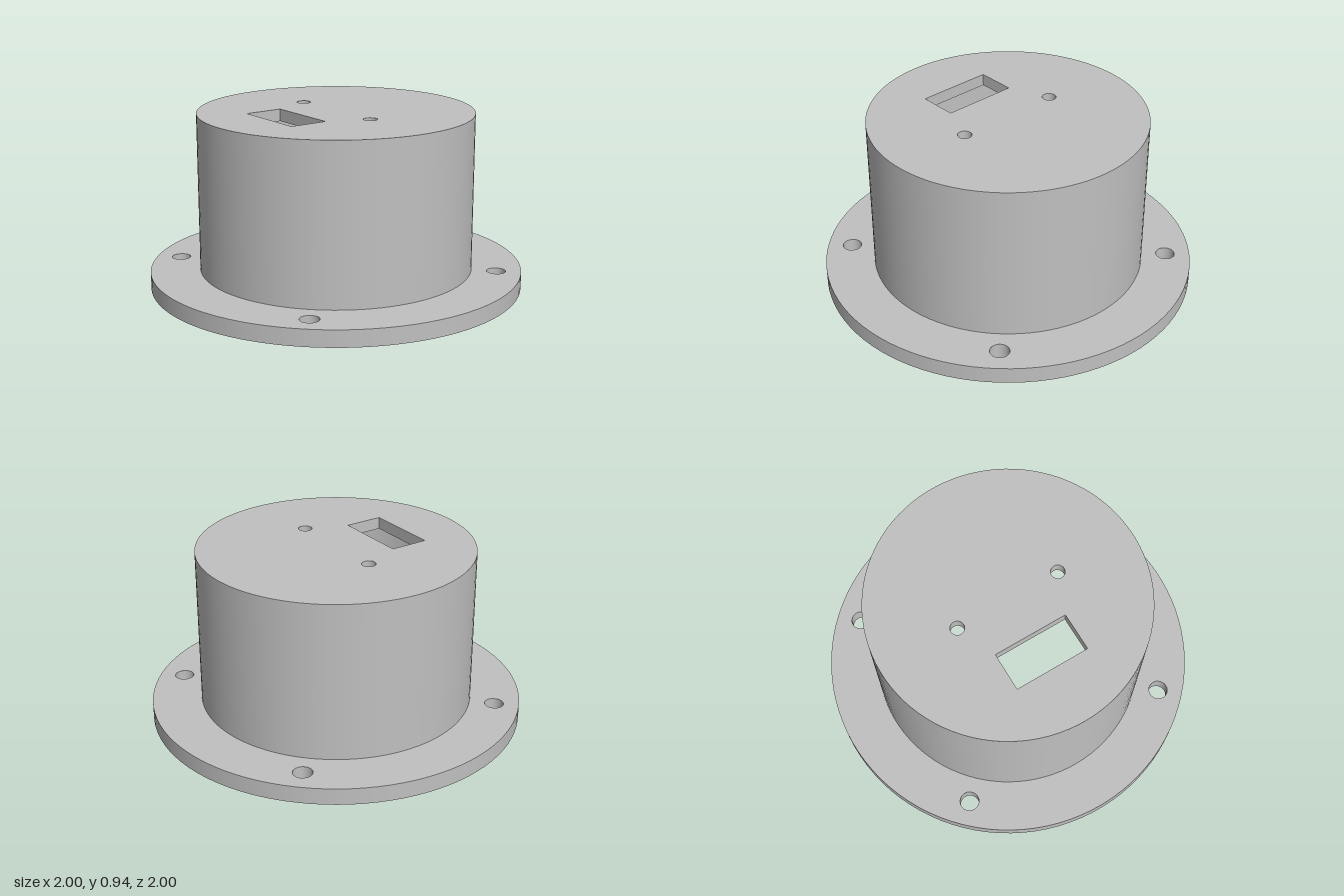
import * as THREE from 'three';

const SEG = 96;
const FLANGE_R = 1, FLANGE_H = 0.09;
const BODY_R = 0.735, BORE_R = 0.664, TOP = 0.94, LID_H = 0.065;
const SLOT = { x: 0, z: 0.322, w: 0.408, d: 0.208 };
const BOLTS = [[-1, -1], [1, -1], [1, 1], [-1, 1]].map(([x, z]) => ({ x: x * 0.613, z: z * 0.613, r: 0.051 }));
const PINS = [-0.295, 0.295].map((x) => ({ x, z: 0, r: 0.037 }));

// Circular path, usable as an outline or a hole
function circle(Type, r, x = 0, y = 0) {
  const path = new Type();
  path.absarc(x, y, r, 0, Math.PI * 2, false);
  return path;
}

// Horizontal disc with round holes and an optional slot, facing up or down
function disc(r, y, up, holes, slot) {
  const s = up ? -1 : 1;
  const shape = circle(THREE.Shape, r);
  for (const h of holes) shape.holes.push(circle(THREE.Path, h.r, h.x, s * h.z));
  if (slot) {
    const x0 = slot.x - slot.w / 2, x1 = slot.x + slot.w / 2;
    const y0 = s * slot.z - slot.d / 2, y1 = s * slot.z + slot.d / 2;
    shape.holes.push(new THREE.Path([[x0, y0], [x0, y1], [x1, y1], [x1, y0]].map((p) => new THREE.Vector2(...p))));
  }
  return new THREE.ShapeGeometry(shape, SEG / 2).rotateX(s * Math.PI / 2).translate(0, y, 0);
}

// Vertical round wall: faces outward when running up, inward when running down
function wall(r, from, to, segments = SEG) {
  return new THREE.LatheGeometry([new THREE.Vector2(r, from), new THREE.Vector2(r, to)], segments);
}

// Four flat inward walls of the rectangular slot
function slotWalls(slot, from, to) {
  const g = wall(Math.SQRT1_2, from, to, 4).rotateY(Math.PI / 4).toNonIndexed();
  g.scale(slot.w, 1, slot.d).translate(slot.x, 0, slot.z);
  g.computeVertexNormals();
  return g;
}

export function createModel() {
  const grey = new THREE.MeshStandardMaterial({ color: 0xc0c0c0 });
  grey.name = 'plainGrey';
  const model = new THREE.Group();
  model.name = 'flangedCap';

  const part = (name) => {
    const group = new THREE.Group();
    group.name = name;
    model.add(group);
    return (meshName, geometry) => {
      const mesh = new THREE.Mesh(geometry, grey);
      mesh.name = meshName;
      group.add(mesh);
    };
  };

  // Mounting flange with four bolt holes
  const flange = part('flange');
  const bore = { x: 0, z: 0, r: BORE_R };
  const seat = { x: 0, z: 0, r: BODY_R };
  flange('flangeTop', disc(FLANGE_R, FLANGE_H, true, [seat, ...BOLTS]));
  flange('flangeUnderside', disc(FLANGE_R, 0, false, [bore, ...BOLTS]));
  flange('flangeRim', wall(FLANGE_R, 0, FLANGE_H));
  for (const b of BOLTS) flange('boltHole', wall(b.r, FLANGE_H, 0, 32).translate(b.x, 0, b.z));

  // Hollow cylindrical body, open at the bottom
  const body = part('body');
  body('outerWall', wall(BODY_R, FLANGE_H, TOP));
  body('innerWall', wall(BORE_R, TOP - LID_H, 0));

  // Lid with two pin holes and a rectangular slot
  const lid = part('lid');
  lid('lidTop', disc(BODY_R, TOP, true, PINS, SLOT));
  lid('lidUnderside', disc(BORE_R, TOP - LID_H, false, PINS, SLOT));
  for (const p of PINS) lid('pinHole', wall(p.r, TOP, TOP - LID_H, 32).translate(p.x, 0, p.z));
  lid('slotWalls', slotWalls(SLOT, TOP, TOP - LID_H));

  return model;
}
